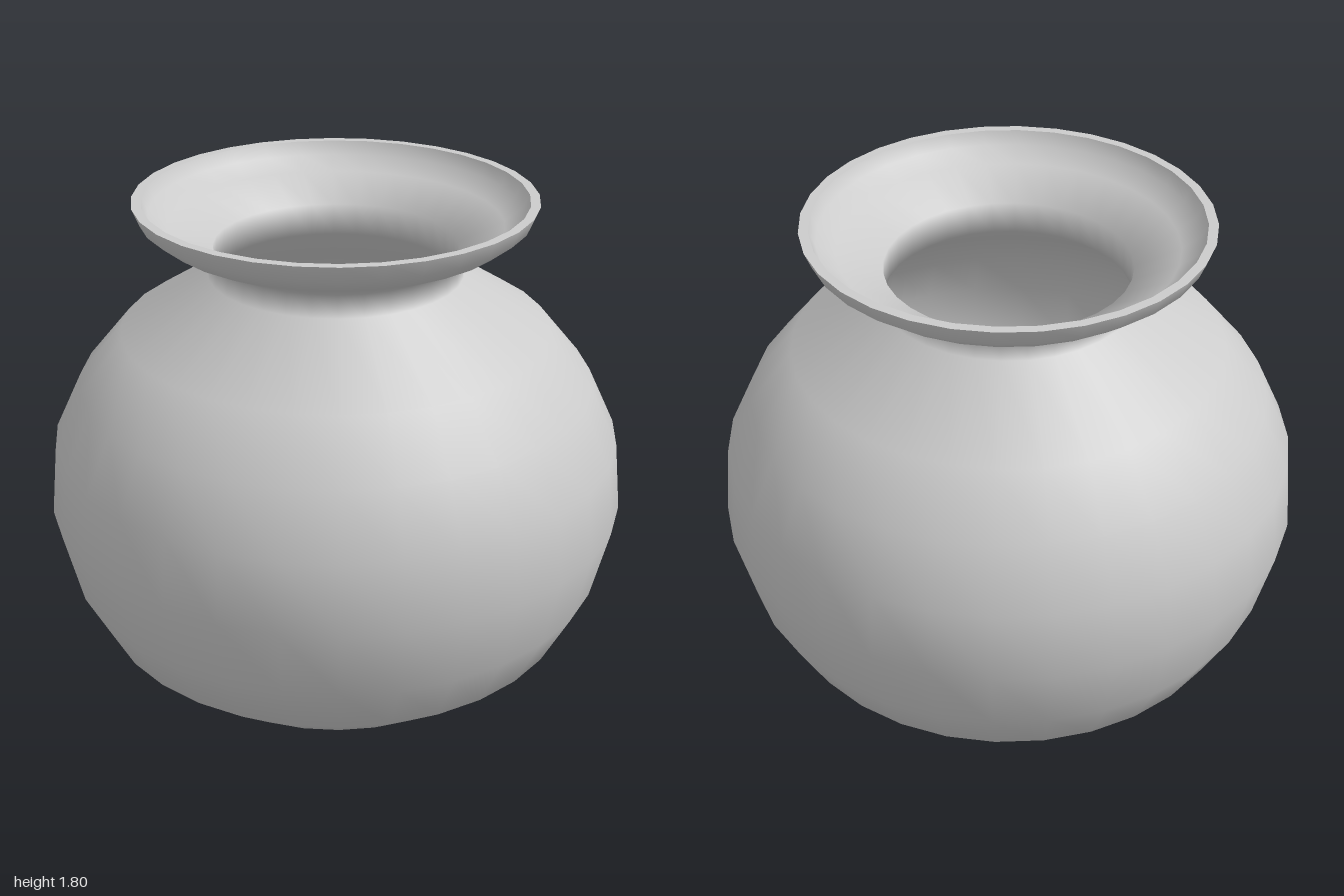
import * as THREE from 'three';

const SEGMENTS = 32;

// Profiles are [radius, height] pairs
const outer = [
  [0, 0], [0.32, 0], [0.62, 0.105], [0.84, 0.28], [0.94, 0.475], [1, 0.73],
  [0.975, 0.97], [0.88, 1.17], [0.73, 1.35], [0.43, 1.54], [0.42, 1.615],
  [0.58, 1.69], [0.65, 1.745], [0.672, 1.8],
];
const inner = [
  [0.64, 1.8], [0.62, 1.755], [0.56, 1.71], [0.41, 1.635], [0.41, 1.525],
  [0.71, 1.33], [0.855, 1.155], [0.945, 0.965], [0.97, 0.73], [0.91, 0.485],
  [0.815, 0.3], [0.605, 0.13], [0.315, 0.03], [0, 0.03],
];
const rim = [outer[outer.length - 1], inner[0]];

export function createModel() {
  const pot = new THREE.Group();
  pot.name = 'pot';
  const material = new THREE.MeshStandardMaterial({ color: 0xcccccc });

  const turn = (name, profile) => {
    const points = profile.map(([r, y]) => new THREE.Vector2(r, y));
    const mesh = new THREE.Mesh(new THREE.LatheGeometry(points, SEGMENTS), material);
    mesh.name = name;
    pot.add(mesh);
  };

  // Separate shells keep the two rim edges sharp
  turn('outerWall', outer);
  turn('rim', rim);
  turn('innerWall', inner);

  return pot;
}
